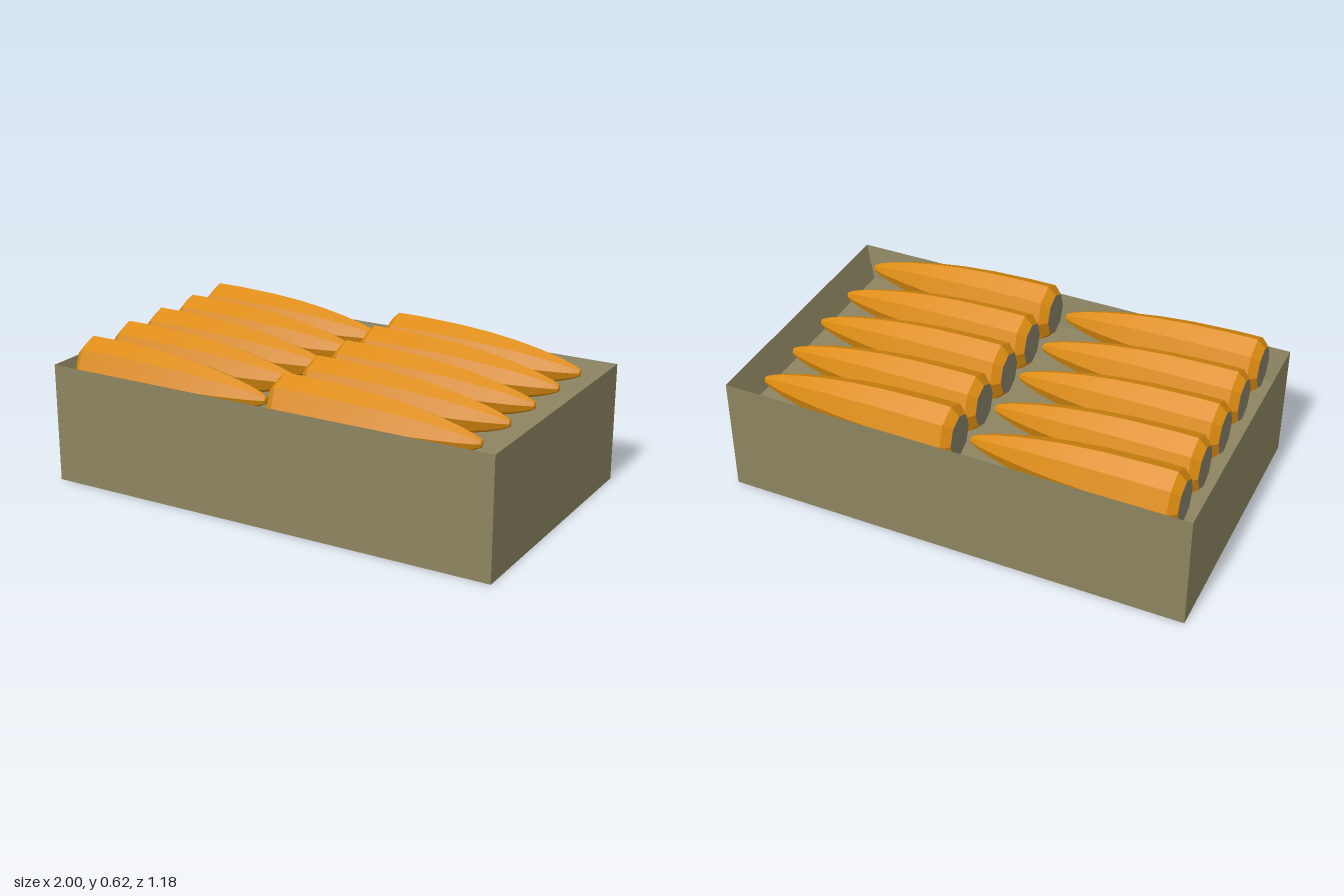
import * as THREE from 'three';
import { toCreasedNormals } from 'three/addons/utils/BufferGeometryUtils.js';

const crateMat = new THREE.MeshStandardMaterial({ color: 0x8c8460 });
crateMat.name = 'olive drab';
const brassMat = new THREE.MeshStandardMaterial({ color: 0xdc8b0f });
brassMat.name = 'brass orange';
const baseMat = new THREE.MeshStandardMaterial({ color: 0x868068 });
baseMat.name = 'dull base grey';

// Open tray: rectangular rings joined from the underside, up to a knife-edge rim, down to the floor
function crateGeometry() {
  const rings = [[1, 0, 0.59], [1, 0.51, 0.59], [0.955, 0.36, 0.56]];
  const corner = ([w, y, d], i) => [
    [-w, y, d], [w, y, d], [w, y, -d], [-w, y, -d],
  ][i % 4];
  const pos = [];
  const quad = (a, b, c, d) => pos.push(...a, ...b, ...c, ...a, ...c, ...d);
  for (let r = 0; r < 2; r++) {
    for (let i = 0; i < 4; i++) {
      quad(corner(rings[r], i), corner(rings[r], i + 1), corner(rings[r + 1], i + 1), corner(rings[r + 1], i));
    }
  }
  quad(...[3, 2, 1, 0].map((i) => corner(rings[0], i))); // underside
  quad(...[0, 1, 2, 3].map((i) => corner(rings[2], i))); // inner floor
  const g = new THREE.BufferGeometry();
  g.setAttribute('position', new THREE.Float32BufferAttribute(pos, 3));
  g.computeVertexNormals();
  return g;
}

// Eight-sided tapered body along +x, slightly taller than wide
function roundGeometry() {
  const profile = [
    [0.08, 0], [0.11, 0.035], [0.11, 0.14], [0.104, 0.33], [0.094, 0.47], [0.08, 0.59],
    [0.062, 0.7], [0.043, 0.79], [0.026, 0.85], [0.013, 0.88], [0, 0.885],
  ].map(([r, h]) => new THREE.Vector2(r, h));
  const g = new THREE.LatheGeometry(profile, 8);
  g.rotateZ(-Math.PI / 2);
  g.scale(1, 0.13 / 0.11, 1);
  return toCreasedNormals(g, 0.45);
}

export function createModel() {
  const model = new THREE.Group();
  model.name = 'crateOfRounds';

  const crate = new THREE.Mesh(crateGeometry(), crateMat);
  crate.name = 'crate';
  model.add(crate);

  const bodyGeo = roundGeometry();
  const capGeo = new THREE.CircleGeometry(0.08, 8);
  capGeo.rotateY(-Math.PI / 2);
  capGeo.scale(1, 0.13 / 0.11, 1);

  // Two columns of five rounds, all pointing to +x
  for (const x of [-0.925, 0.008]) {
    for (const z of [0.465, 0.22, -0.01, -0.245, -0.465]) {
      const round = new THREE.Group();
      round.name = 'round';
      const body = new THREE.Mesh(bodyGeo, brassMat);
      body.name = 'roundBody';
      const cap = new THREE.Mesh(capGeo, baseMat);
      cap.name = 'roundBase';
      round.add(body, cap);
      round.position.set(x, 0.489, z);
      model.add(round);
    }
  }
  return model;
}
